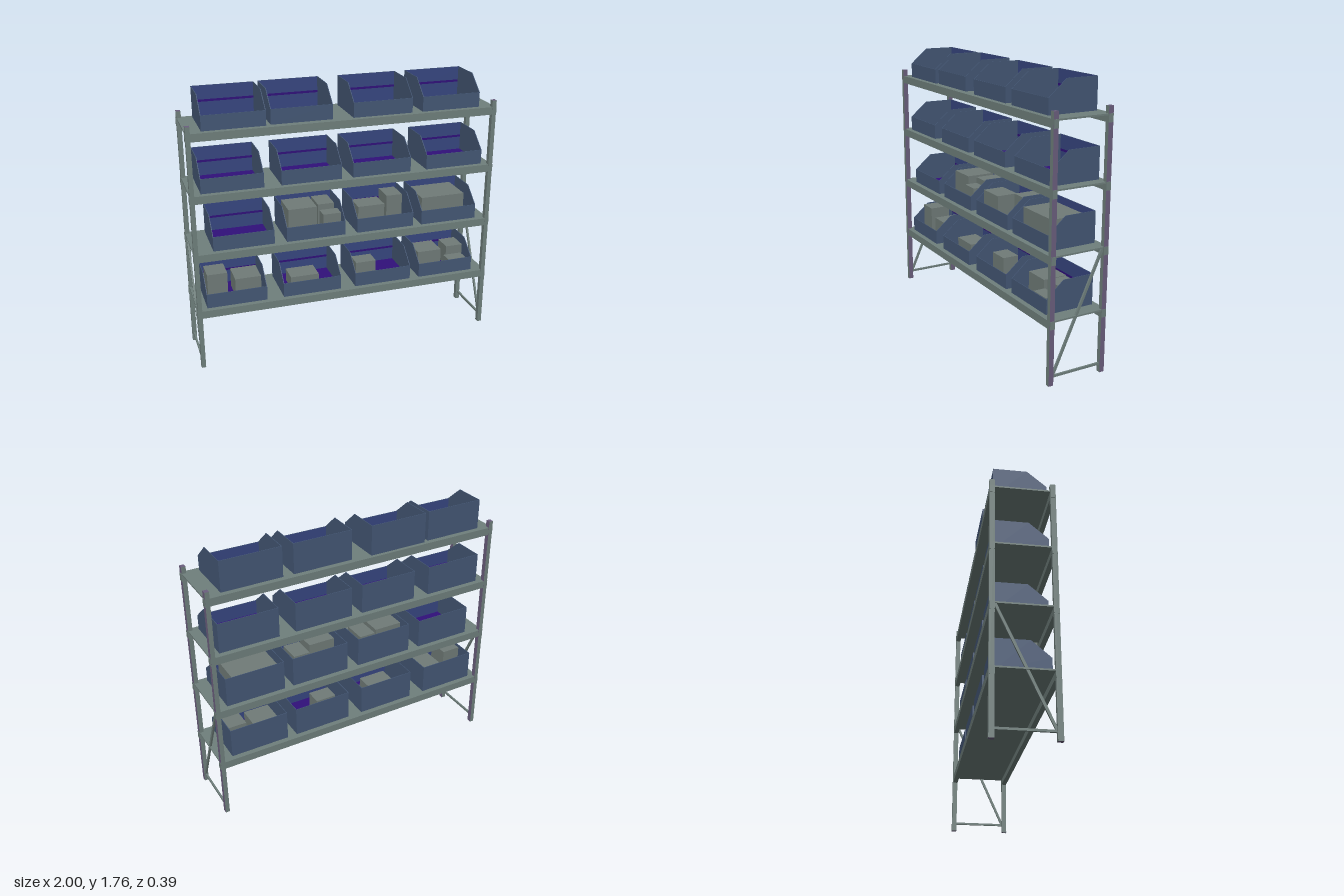
import * as THREE from 'three';

const mat = (name, color) => {
  const m = new THREE.MeshStandardMaterial({ color });
  m.name = name;
  return m;
};

export function createModel() {
  const steel = mat('grey steel', 0x6f7f7c);
  const mauve = mat('mauve post side', 0x6b5f7e);
  const blue = mat('bin blue', 0x445775);
  const inner = mat('bin inner blue', 0x374680);
  const purple = mat('bin floor purple', 0x30107a);
  const carton = mat('carton grey', 0x707b78);

  const model = new THREE.Group();
  model.name = 'storageRack';

  // box given by its limits on each axis
  const box = (parent, name, material, x0, x1, y0, y1, z0, z1) => {
    const m = new THREE.Mesh(new THREE.BoxGeometry(x1 - x0, y1 - y0, z1 - z0), material);
    m.position.set((x0 + x1) / 2, (y0 + y1) / 2, (z0 + z1) / 2);
    m.name = name;
    parent.add(m);
    return m;
  };

  // corner posts
  const postSides = [mauve, steel, mauve, mauve, steel, steel];
  for (const sx of [-1, 1]) for (const sz of [-1, 1]) {
    const x = sx * 0.983, z = sz * 0.181;
    box(model, 'post', postSides, x - 0.014, x + 0.014, 0, 1.61, z - 0.016, z + 0.016);
  }

  // end braces: a low tie and a diagonal
  for (const sx of [-1, 1]) {
    const x = sx * 0.985;
    box(model, 'tieBar', steel, x - 0.006, x + 0.006, 0.048, 0.062, -0.17, 0.17);
    const dz = -0.335, dy = 0.74;
    const brace = new THREE.Mesh(new THREE.BoxGeometry(0.012, Math.hypot(dz, dy), 0.016), steel);
    brace.position.set(x, 0.42, 0.002);
    brace.rotation.x = Math.atan2(dz, dy);
    brace.name = 'diagonalBrace';
    model.add(brace);
  }

  // shelves: front and back beams under a thin deck
  const levels = [0.405, 0.793, 1.178, 1.567];
  for (const y of levels) {
    box(model, 'shelfDeck', steel, -0.995, 0.995, y - 0.01, y, -0.165, 0.165);
    for (const s of [-1, 1]) {
      const z = s * 0.18;
      box(model, 'shelfBeam', steel, -1, 1, y - 0.05, y, z - 0.0155, z + 0.0155);
    }
  }

  // open-front bin with sloped sides
  const W = 0.39, H = 0.195, LIP = 0.095, D = 0.1625, T = 0.004;
  const profile = new THREE.Shape([
    [-D, 0], [D, 0], [D, LIP], [0.045, H], [-D, H],
  ].map(([z, y]) => new THREE.Vector2(z, y)));
  const sideGeo = new THREE.ExtrudeGeometry(profile, { depth: T, bevelEnabled: false });
  sideGeo.rotateY(-Math.PI / 2);

  const addBin = (x, y, z) => {
    const bin = new THREE.Group();
    bin.name = 'bin';
    bin.position.set(x, y, z);
    const h = W / 2, i = h - T;
    for (const sx of [-h + T, h]) {
      const side = new THREE.Mesh(sideGeo, blue);
      side.position.x = sx;
      side.name = 'binSide';
      bin.add(side);
    }
    box(bin, 'binBack', blue, -i, i, 0, H, -D, -D + T);
    box(bin, 'binFrontLip', blue, -i, i, 0, LIP, D - T, D);
    box(bin, 'binBackLining', inner, -i, i, T, H - 0.001, -D + T, -D + T + 0.001);
    box(bin, 'binLipLining', inner, -i, i, T, LIP - 0.001, D - T - 0.001, D - T);
    box(bin, 'binBackStripe', purple, -i, i, LIP - 0.002, LIP + 0.012, -D + T + 0.001, -D + T + 0.002);
    box(bin, 'binFloor', purple, -i, i, 0.001, 0.006, -D + T, D - T);
    model.add(bin);
  };

  // bin centres, one row per shelf
  const rows = [
    [-0.735, -0.235, 0.255, 0.71],
    [-0.675, -0.205, 0.265, 0.715],
    [-0.73, -0.23, 0.235, 0.735],
    [-0.705, -0.285, 0.235, 0.695],
  ];
  rows.forEach((row, r) => row.forEach((x, c) =>
    addBin(x, levels[r] + 0.001, r === 3 && c === 1 ? -0.011 : 0)));

  // cartons: shelf, left and right edge, height, back and front edge
  const cartons = [
    [0, -0.91, -0.78, 0.193, -0.06, 0.085],
    [0, -0.73, -0.56, 0.135, -0.09, 0.08],
    [0, -0.36, -0.17, 0.092, -0.06, 0.08],
    [0, 0.1, 0.24, 0.12, -0.05, 0.06],
    [0, 0.55, 0.72, 0.135, -0.1, 0.06],
    [0, 0.76, 0.88, 0.15, -0.07, 0.06],
    [0, 0.74, 0.87, 0.09, 0.065, 0.145],
    [1, -0.37, -0.18, 0.187, -0.1, 0.09],
    [1, -0.16, -0.05, 0.18, -0.12, 0.04],
    [1, -0.15, -0.03, 0.143, 0.045, 0.13],
    [1, 0.09, 0.27, 0.163, -0.02, 0.12],
    [1, 0.32, 0.43, 0.18, -0.12, 0.03],
    [1, 0.545, 0.85, 0.163, -0.13, 0.1],
  ];
  for (const [r, x0, x1, h, z0, z1] of cartons)
    box(model, 'carton', carton, x0, x1, levels[r] + 0.006, levels[r] + h, z0, z1);

  return model;
}
